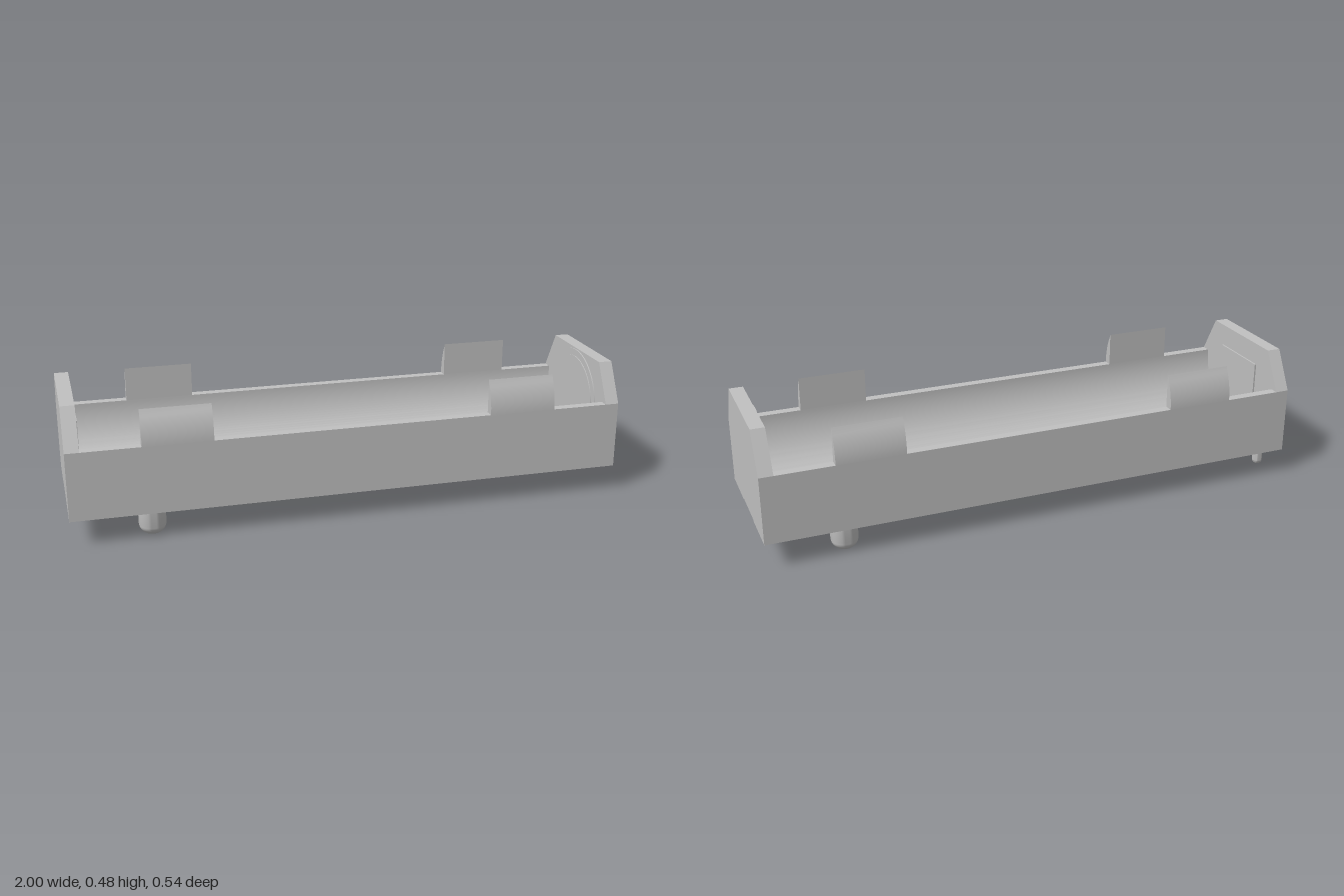
import * as THREE from 'three';
import { toCreasedNormals } from 'three/addons/utils/BufferGeometryUtils.js';

const W = 0.268;      // half depth of the body
const INNER = 0.235;  // trough radius
const BASE = 0.095;   // underside of the body
const RIM = 0.34;     // top of the side walls

// Extrudes a (z, y) cross-section along x, from x0 to x1
function extrudeX(shape, x0, x1) {
  const g = new THREE.ExtrudeGeometry(shape, { depth: x1 - x0, bevelEnabled: false, curveSegments: 40 });
  g.rotateY(Math.PI / 2);
  g.translate(x0, 0, 0);
  return toCreasedNormals(g, 0.5);
}

function polygon(points) {
  return new THREE.Shape(points.map(([x, y]) => new THREE.Vector2(x, y)));
}

// Downward peg with a rounded tip
function pegGeometry(radius, fillet, bottom, top) {
  const pts = [new THREE.Vector2(0, bottom)];
  for (let i = 0; i <= 8; i++) {
    const a = (i / 8) * Math.PI / 2;
    pts.push(new THREE.Vector2(radius - fillet + fillet * Math.sin(a), bottom + fillet * (1 - Math.cos(a))));
  }
  pts.push(new THREE.Vector2(radius, top), new THREE.Vector2(0, top));
  return toCreasedNormals(new THREE.LatheGeometry(pts, 32), 0.6);
}

export function createModel() {
  const group = new THREE.Group();
  const grey = new THREE.MeshStandardMaterial({ color: 0xc0c0c0 });
  grey.name = 'grey plastic';

  const add = (name, geometry, x = 0, y = 0, z = 0) => {
    const mesh = new THREE.Mesh(geometry, grey);
    mesh.name = name;
    mesh.position.set(x, y, z);
    group.add(mesh);
    return mesh;
  };

  // Tray with a half-round trough
  const tray = new THREE.Shape();
  tray.moveTo(-W, BASE);
  tray.lineTo(W, BASE);
  tray.lineTo(W, RIM);
  tray.lineTo(INNER, RIM);
  tray.absarc(0, RIM, INNER, 0, -Math.PI, true);
  tray.lineTo(-W, RIM);
  tray.closePath();
  add('tray', extrudeX(tray, -0.95, 0.95));

  // End walls with chamfered tops and a shallow slot underneath
  const wall = polygon([
    [-W, BASE], [-0.083, BASE], [-0.083, 0.1], [0.083, 0.1], [0.083, BASE], [W, BASE],
    [W, RIM], [0.19, 0.48], [-0.19, 0.48], [-W, RIM],
  ]);
  add('leftEndWall', extrudeX(wall, 0.95, 1));
  add('rightEndWall', extrudeX(wall, -1, -0.95));

  // Retaining clips: curved outside, flat inside
  for (const side of [1, -1]) {
    const pts = [[side * INNER, RIM - 0.01], [side * W, RIM - 0.01]];
    for (let i = 0; i <= 10; i++) {
      const y = RIM + (i / 10) * 0.123;
      const z = 0.0344 + Math.sqrt(0.2336 ** 2 - (y - RIM) ** 2);
      pts.push([side * Math.max(z, INNER), y]);
    }
    for (const x0 of [-0.745, 0.5]) {
      add(side > 0 ? 'frontClip' : 'backClip', extrudeX(polygon(pts), x0, x0 + 0.245));
    }
  }

  // Contact pads on the inner faces of the end walls
  add('squareContact', new THREE.BoxGeometry(0.01, 0.24, 0.24), -0.949, 0.28, 0);
  for (const [r, t] of [[0.185, 0.008], [0.16, 0.014]]) {
    const disc = new THREE.CylinderGeometry(r, r, t, 48);
    disc.rotateZ(Math.PI / 2);
    add('roundContact', disc, 0.95, 0.29, 0);
  }

  // Mounting pegs and the small locating pin
  const peg = pegGeometry(0.048, 0.04, 0, 0.093);
  add('frontPeg', peg, -0.717, 0, 0.208);
  add('backPeg', peg, 0.717, 0, -0.208);
  add('locatingPin', pegGeometry(0.019, 0.017, 0.025, 0.093), -0.93, 0, -0.208);

  return group;
}
